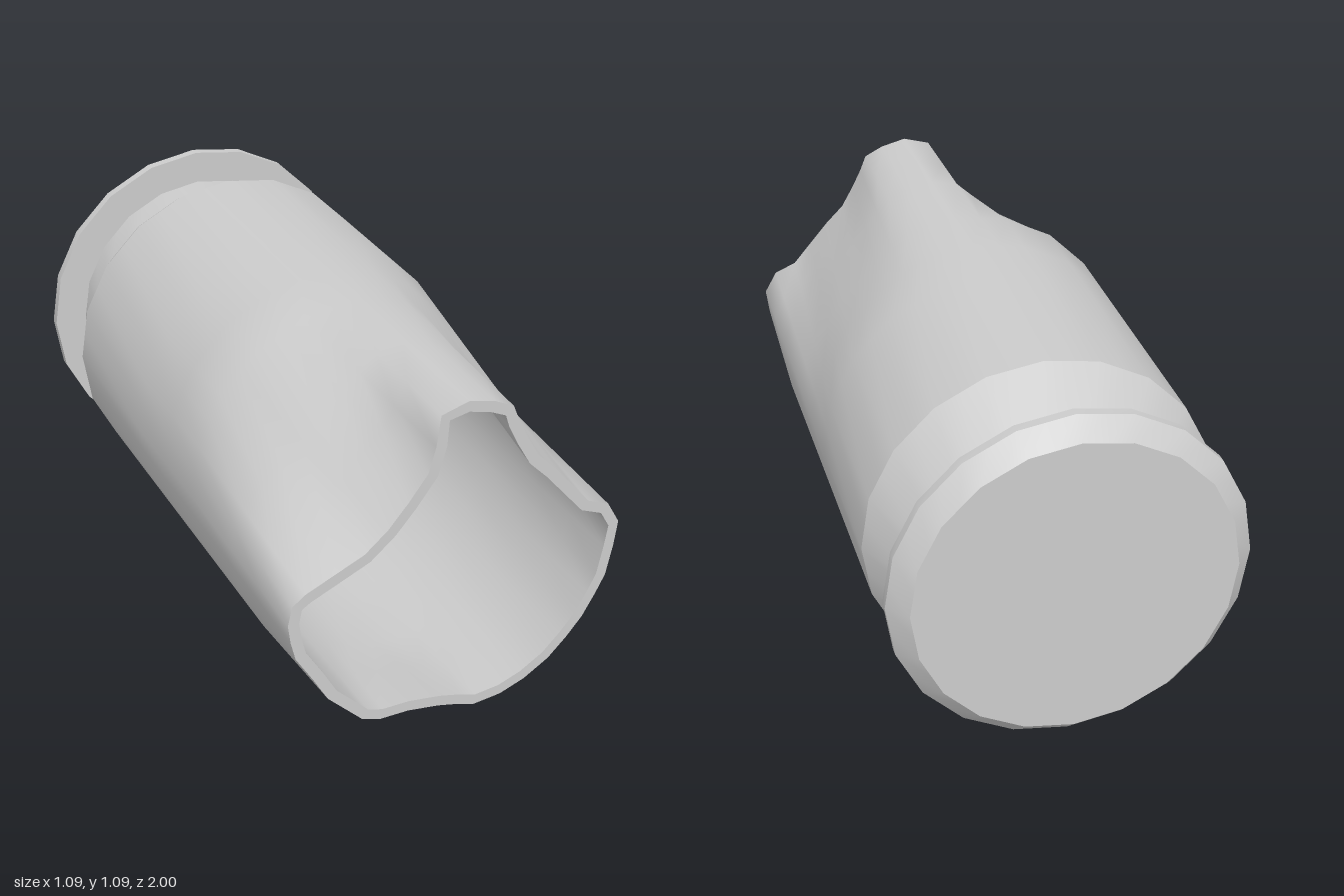
import * as THREE from 'three';

const N = 40, R = 0.5425, WALL = 0.034;

// Crushed mouth outline, clockwise from the top, relative to the axis
const MOUTH = [
  [0.01, 0.54], [0.09, 0.52], [0.15, 0.49], [0.17, 0.44], [0.20, 0.38],
  [0.24, 0.31], [0.30, 0.25], [0.36, 0.18], [0.42, 0.11], [0.49, 0.08],
  [0.53, 0.01], [0.52, -0.07], [0.50, -0.17], [0.47, -0.23], [0.43, -0.30],
  [0.38, -0.36], [0.32, -0.42], [0.24, -0.47], [0.16, -0.50], [0.07, -0.51],
  [0.01, -0.49], [-0.05, -0.475], [-0.15, -0.46], [-0.24, -0.46], [-0.30, -0.44],
  [-0.35, -0.39], [-0.41, -0.33], [-0.455, -0.25], [-0.51, -0.16], [-0.525, -0.10],
  [-0.533, -0.04], [-0.52, 0.02], [-0.48, 0.05], [-0.39, 0.09], [-0.30, 0.13],
  [-0.23, 0.19], [-0.17, 0.26], [-0.11, 0.34], [-0.088, 0.42], [-0.076, 0.515],
];

// Same outline moved inward by the wall thickness
const INNER_MOUTH = MOUTH.map(([x, y], k) => {
  const a = MOUTH[(k + N - 1) % N], b = MOUTH[(k + 1) % N];
  const dx = b[0] - a[0], dy = b[1] - a[1], l = Math.hypot(dx, dy);
  return [x + (dy / l) * WALL, y - (dx / l) * WALL];
});

// 20-sided ring; odd points lie in the middle of each side
function ring(r, z) {
  return Array.from({ length: N }, (_, k) => {
    const a = (k / N) * Math.PI * 2, q = k % 2 ? r * Math.cos(Math.PI / 20) : r;
    return [q * Math.sin(a), q * Math.cos(a), z];
  });
}

// Where along the tube each side starts to fold in
const foldStart = (k) => (k <= 10 ? -0.1 : k < 28 ? 0.62 : 0.33);

function crushedRing(r, mouth, z) {
  return ring(r, z).map(([x, y], k) => {
    const s = foldStart(k), t = Math.max(0, (z - s) / (1 - s));
    return [x + (mouth[k][0] - x) * t, y + (mouth[k][1] - y) * t, z];
  });
}

// Skin between successive rings, smooth within one part
function loft(name, rings, material) {
  const pos = rings.flat(2), index = [];
  for (let i = 0; i < rings.length - 1; i++) {
    for (let k = 0; k < N; k++) {
      const a = i * N + k, b = i * N + ((k + 1) % N), c = a + N, d = b + N;
      index.push(a, c, b, b, c, d);
    }
  }
  const g = new THREE.BufferGeometry();
  g.setAttribute('position', new THREE.Float32BufferAttribute(pos, 3));
  g.setIndex(index);
  g.computeVertexNormals();
  const mesh = new THREE.Mesh(g, material);
  mesh.name = name;
  return mesh;
}

export function createModel() {
  const model = new THREE.Group();
  model.name = 'crushedCasing';
  const material = new THREE.MeshStandardMaterial({ color: 0xcccccc });

  // Turned base, from the back face to the shoulder: [name, r0, z0, r1, z1]
  const bands = [
    ['backFace', 0, -1, 0.485, -1],
    ['rimChamfer', 0.485, -1, R, -0.94],
    ['rimEdge', R, -0.94, R, -0.91],
    ['rimFrontFace', R, -0.91, 0.435, -0.91],
    ['groove', 0.435, -0.91, 0.435, -0.82],
    ['shoulder', 0.435, -0.82, R, -0.64],
    ['innerShoulder', 0.505, -0.64, 0.43, -0.82],
    ['innerFloor', 0.43, -0.82, 0, -0.82],
  ];
  for (const [name, r0, z0, r1, z1] of bands) {
    model.add(loft(name, [ring(r0, z0), ring(r1, z1)], material));
  }

  // Tube walls with the crushed end
  const stations = [-0.64, -0.1, 0.12, 0.33, 0.62, 0.8, 1];
  const outer = stations.map((z) => crushedRing(R, MOUTH, z));
  const inner = stations.map((z) => crushedRing(0.505, INNER_MOUTH, z)).reverse();
  model.add(loft('outerWall', outer, material));
  model.add(loft('mouthLip', [outer[outer.length - 1], inner[0]], material));
  model.add(loft('innerWall', inner, material));

  model.children.forEach((m) => { m.position.y = R; });
  return model;
}
